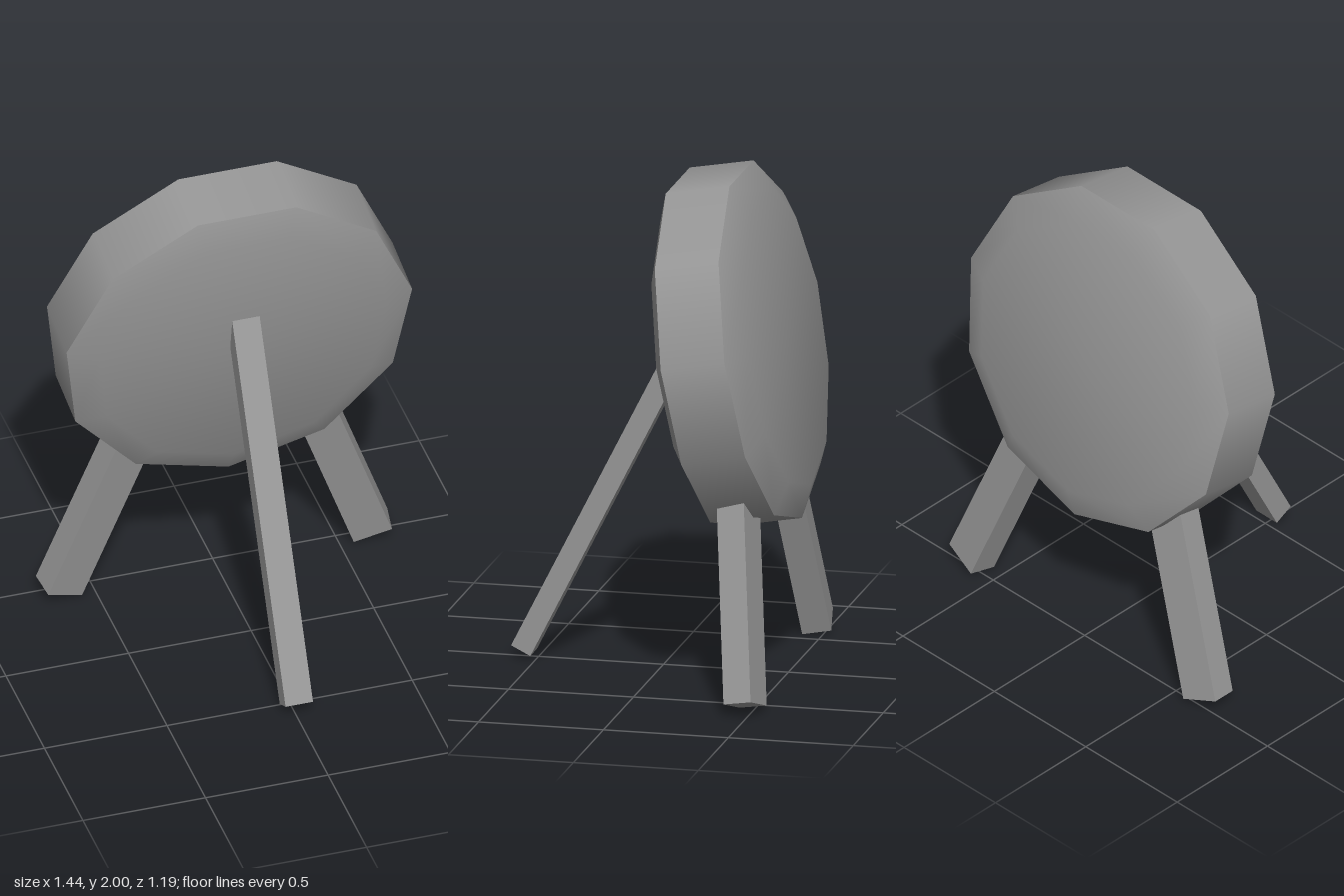
import * as THREE from 'three';

const { degToRad } = THREE.MathUtils;
const material = new THREE.MeshStandardMaterial({ color: 0x979797 });

function addMesh(parent, name, geometry) {
  const mesh = new THREE.Mesh(geometry, material);
  mesh.name = name;
  parent.add(mesh);
  return mesh;
}

// Eleven-sided ring or cap; each profile point is [radius, height, normal tilt from vertical]
function addDiscPart(parent, name, points) {
  const profile = points.map(([r, y]) => new THREE.Vector2(r, y));
  const geometry = new THREE.LatheGeometry(profile, 11);
  const normal = geometry.attributes.normal;
  for (let i = 0; i < normal.count; i++) {
    const tilt = degToRad(points[i % points.length][2]);
    const around = Math.floor(i / points.length) / 11 * Math.PI * 2;
    normal.setXYZ(i, Math.sin(tilt) * Math.sin(around), Math.cos(tilt), Math.sin(tilt) * Math.cos(around));
  }
  addMesh(parent, name, geometry);
}

// Square-cut beam from a foot point along a direction; "side" is its width axis
function addBeam(parent, name, foot, direction, side, width, depth, length) {
  const d = direction.clone().normalize();
  const s = side.clone().addScaledVector(d, -side.dot(d)).normalize();
  const t = new THREE.Vector3().crossVectors(s, d);
  const geometry = new THREE.BoxGeometry(width, length, depth);
  geometry.translate(0, length / 2, 0);
  const beam = addMesh(parent, name, geometry);
  beam.quaternion.setFromRotationMatrix(new THREE.Matrix4().makeBasis(s, d, t));
  beam.position.copy(foot);
}

export function createModel() {
  const model = new THREE.Group();
  model.name = 'targetStand';

  // Disc leaning back: softly shaded bevelled faces with sharp rim edges
  const disc = new THREE.Group();
  disc.name = 'disc';
  addDiscPart(disc, 'discFront', [[0.712, 0.126, 23], [0.592, 0.176, 13], [0, 0.176, 0]]);
  addDiscPart(disc, 'discRim', [[0.712, -0.133, 90], [0.712, 0.126, 90]]);
  addDiscPart(disc, 'discBack', [[0, -0.195, 180], [0.583, -0.195, 167], [0.712, -0.133, 155]]);
  disc.rotation.x = degToRad(100);
  disc.position.set(0.002, 1.306, -0.3);
  model.add(disc);

  // Long prop leg running forward from the face of the disc
  addBeam(model, 'frontLeg',
    new THREE.Vector3(0.01, 0.039, 0.556),
    new THREE.Vector3(0, 0.893, -0.45),
    new THREE.Vector3(1, 0, 0), 0.112, 0.086, 1.65);

  // Two splayed legs under the disc, turned slightly about their length
  const turn = degToRad(8);
  for (const side of [1, -1]) {
    addBeam(model, side > 0 ? 'leftLeg' : 'rightLeg',
      new THREE.Vector3(side * 0.638, 0.037, side > 0 ? -0.48 : -0.463),
      new THREE.Vector3(side * -0.365, 1, side > 0 ? 0.125 : 0.105),
      new THREE.Vector3(Math.cos(turn), 0, side * Math.sin(turn)),
      0.158, 0.115, 0.95);
  }
  return model;
}
